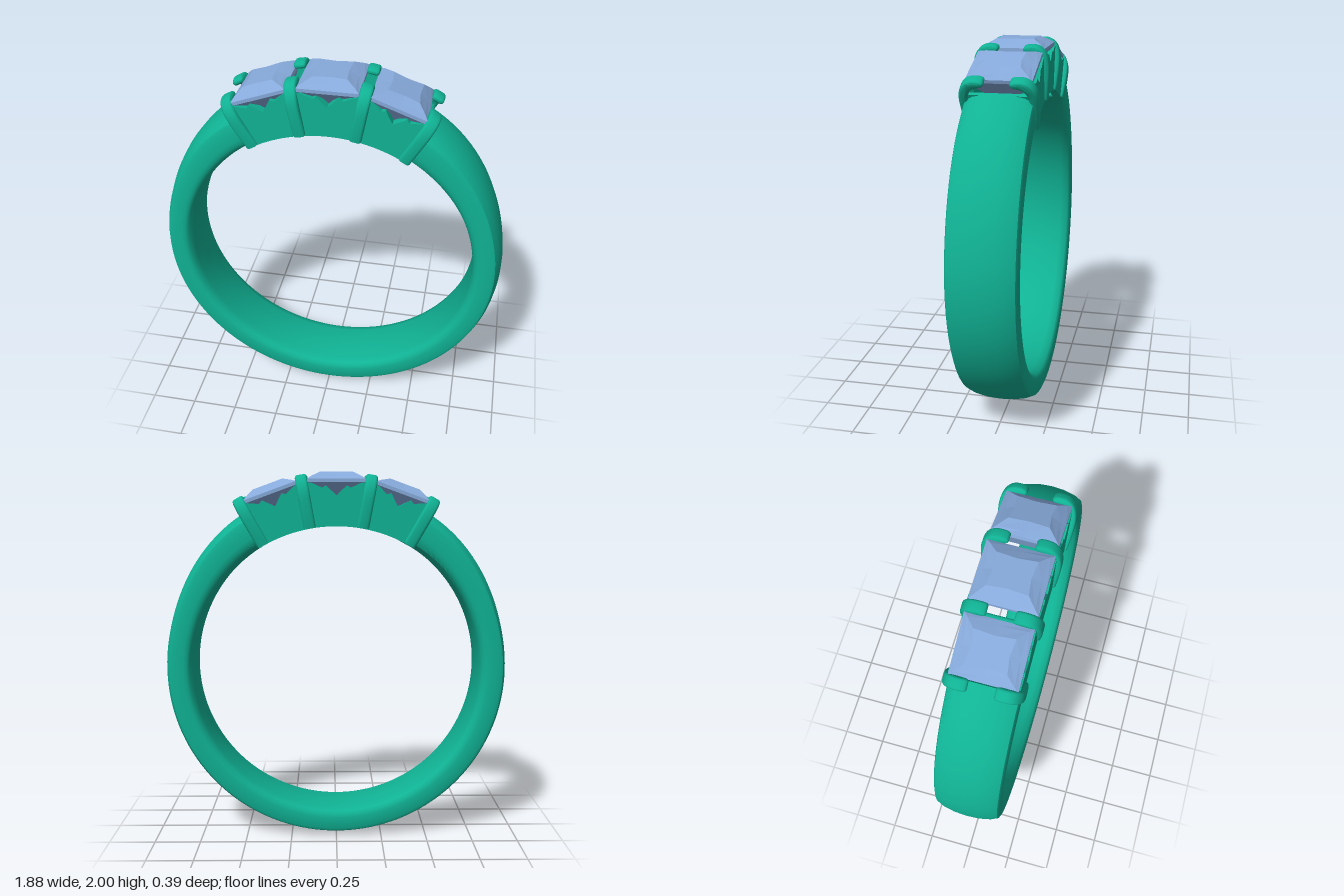
import * as THREE from 'three';
import { toCreasedNormals } from 'three/addons/utils/BufferGeometryUtils.js';

const CY = 0.935; // height of the ring's centre
const INNER = 0.78; // finger hole radius
const rad = THREE.MathUtils.degToRad;
const metal = new THREE.MeshStandardMaterial({ color: 0x10b294 });
const metalOpen = new THREE.MeshStandardMaterial({ color: 0x10b294, side: THREE.DoubleSide });
const stone = new THREE.MeshStandardMaterial({ color: 0x86a9da, flatShading: true });

// Mesh whose local y axis points outward from the ring at an angle from the top
function place(geometry, material, name, degrees = 0) {
  const mesh = new THREE.Mesh(geometry, material);
  mesh.name = name;
  mesh.position.y = CY;
  mesh.rotation.z = -rad(degrees);
  return mesh;
}

// Domed band over 300 degrees, thickening towards the shoulders
function shankGeometry() {
  const profile = [
    [0.795, -0.16], [0.812, -0.172], [0.83, -0.175], [0.89, -0.175], [0.905, -0.168],
    [0.922, -0.13], [0.934, -0.07], [0.938, 0], [0.934, 0.07], [0.922, 0.13],
    [0.905, 0.168], [0.89, 0.175], [0.83, 0.175], [0.812, 0.172], [0.795, 0.16],
    [0.783, 0.12], [INNER, 0], [0.783, -0.12], [0.795, -0.16],
  ].map(([r, z]) => new THREE.Vector2(r, z));
  const geo = new THREE.LatheGeometry(profile, 120, rad(-150), rad(300));
  geo.rotateX(Math.PI / 2);
  const p = geo.attributes.position;
  for (let i = 0; i < p.count; i++) {
    const x = p.getX(i), y = p.getY(i), r = Math.hypot(x, y);
    const fromTop = Math.abs(Math.atan2(x, y));
    const flare = 1 - THREE.MathUtils.smoothstep(fromTop, rad(28), rad(80));
    const s = (r + (r - INNER) * 0.3 * flare) / r;
    p.setXY(i, x * s, y * s);
  }
  return toCreasedNormals(geo, 0.7);
}

// U-shaped claw: a bar under the setting with two arms curling over the stones
function clawGeometry() {
  const s = new THREE.Shape();
  s.moveTo(-0.182, 0.78);
  s.lineTo(0.182, 0.78);
  s.quadraticCurveTo(0.194, 0.86, 0.196, 0.94);
  s.bezierCurveTo(0.197, 1.02, 0.165, 1.066, 0.11, 1.066);
  s.quadraticCurveTo(0.064, 1.066, 0.064, 1.045);
  s.quadraticCurveTo(0.066, 1.028, 0.1, 1.024);
  s.quadraticCurveTo(0.15, 1.01, 0.15, 0.95);
  s.lineTo(0.135, 0.835);
  s.lineTo(-0.135, 0.835);
  s.lineTo(-0.15, 0.95);
  s.quadraticCurveTo(-0.15, 1.01, -0.1, 1.024);
  s.quadraticCurveTo(-0.066, 1.028, -0.064, 1.045);
  s.quadraticCurveTo(-0.064, 1.066, -0.11, 1.066);
  s.bezierCurveTo(-0.165, 1.066, -0.197, 1.02, -0.196, 0.94);
  s.quadraticCurveTo(-0.194, 0.86, -0.182, 0.78);
  const geo = new THREE.ExtrudeGeometry(s, {
    depth: 0.036, bevelThickness: 0.014, bevelSize: 0.014, bevelOffset: -0.014,
    bevelSegments: 3, curveSegments: 10,
  });
  geo.translate(0, 0, -0.018);
  geo.rotateY(-Math.PI / 2);
  return toCreasedNormals(geo, 0.7);
}

// Side wall of the setting, notched under each stone
function wallGeometry() {
  const s = new THREE.Shape();
  s.absarc(0, 0, INNER, rad(60), rad(120), false);
  const notch = [[-0.15, 1.005], [-0.13, 1.005], [-0.075, 0.98], [-0.055, 0.993], [0, 0.94],
    [0.055, 0.993], [0.075, 0.98], [0.13, 1.005], [0.15, 1.005]];
  for (const degrees of [-20, 0, 20]) {
    const c = Math.cos(rad(degrees)), k = Math.sin(rad(degrees));
    for (const [x, y] of notch) s.lineTo(x * c + y * k, y * c - x * k);
  }
  s.closePath();
  const geo = new THREE.ExtrudeGeometry(s, { depth: 0.045, bevelEnabled: false, curveSegments: 24 });
  return toCreasedNormals(geo.translate(0, 0, -0.0225), 0.5);
}

// Square-cut stone from stacked eight-point loops: [half x, half z, height, mid-edge pull]
function stoneGeometry(hx) {
  const levels = [
    [0, 0, 0.84, 1], [0.085, 0.09, 0.92, 1], [hx, 0.165, 1.008, 1], [hx, 0.165, 1.026, 1],
    [hx * 0.86, 0.143, 1.041, 0.95], [hx * 0.56, 0.1, 1.065, 0.9], [0, 0, 1.065, 1],
  ];
  const ring = [[1, 1], [1, 0], [1, -1], [0, -1], [-1, -1], [-1, 0], [-1, 1], [0, 1]];
  const pos = [], index = [];
  levels.forEach(([x, z, y, pull]) => ring.forEach(([a, b]) => {
    const f = a && b ? 1 : pull;
    pos.push(a * x * f, y, b * z * f);
  }));
  for (let l = 0; l < levels.length - 1; l++) {
    for (let i = 0; i < 8; i++) {
      const a = l * 8 + i, b = l * 8 + (i + 1) % 8;
      if (l > 0) index.push(a, b, b + 8);
      if (l < levels.length - 2) index.push(a, b + 8, a + 8);
      if (l === 0) index.pop(), index.pop(), index.pop(), index.push(a, b + 8, a + 8);
    }
  }
  const geo = new THREE.BufferGeometry();
  geo.setAttribute('position', new THREE.Float32BufferAttribute(pos, 3));
  geo.setIndex(index);
  geo.computeVertexNormals();
  return geo;
}

export function createModel() {
  const ring = new THREE.Group();
  ring.name = 'threeStoneRing';
  ring.add(place(shankGeometry(), metalOpen, 'shank'));

  // Setting walls, front and back
  const wall = wallGeometry();
  for (const side of [1, -1]) {
    const mesh = place(wall, metal, side > 0 ? 'frontWall' : 'backWall');
    mesh.position.z = side * 0.148;
    ring.add(mesh);
  }

  // Walls closing the two ends of the band
  const end = new THREE.BoxGeometry(0.02, 0.18, 0.31).translate(0, 0.885, 0);
  for (const degrees of [-29.8, 29.8]) ring.add(place(end, metal, 'endWall', degrees));

  // Claws between and beside the stones
  const claw = clawGeometry();
  for (const degrees of [-29.6, -10.3, 10.3, 29.6]) ring.add(place(claw, metal, 'claw', degrees));

  // Stones
  ring.add(place(stoneGeometry(0.155), stone, 'centreStone'));
  const sideStone = stoneGeometry(0.147);
  for (const degrees of [-20, 20]) ring.add(place(sideStone, stone, 'sideStone', degrees));
  return ring;
}
